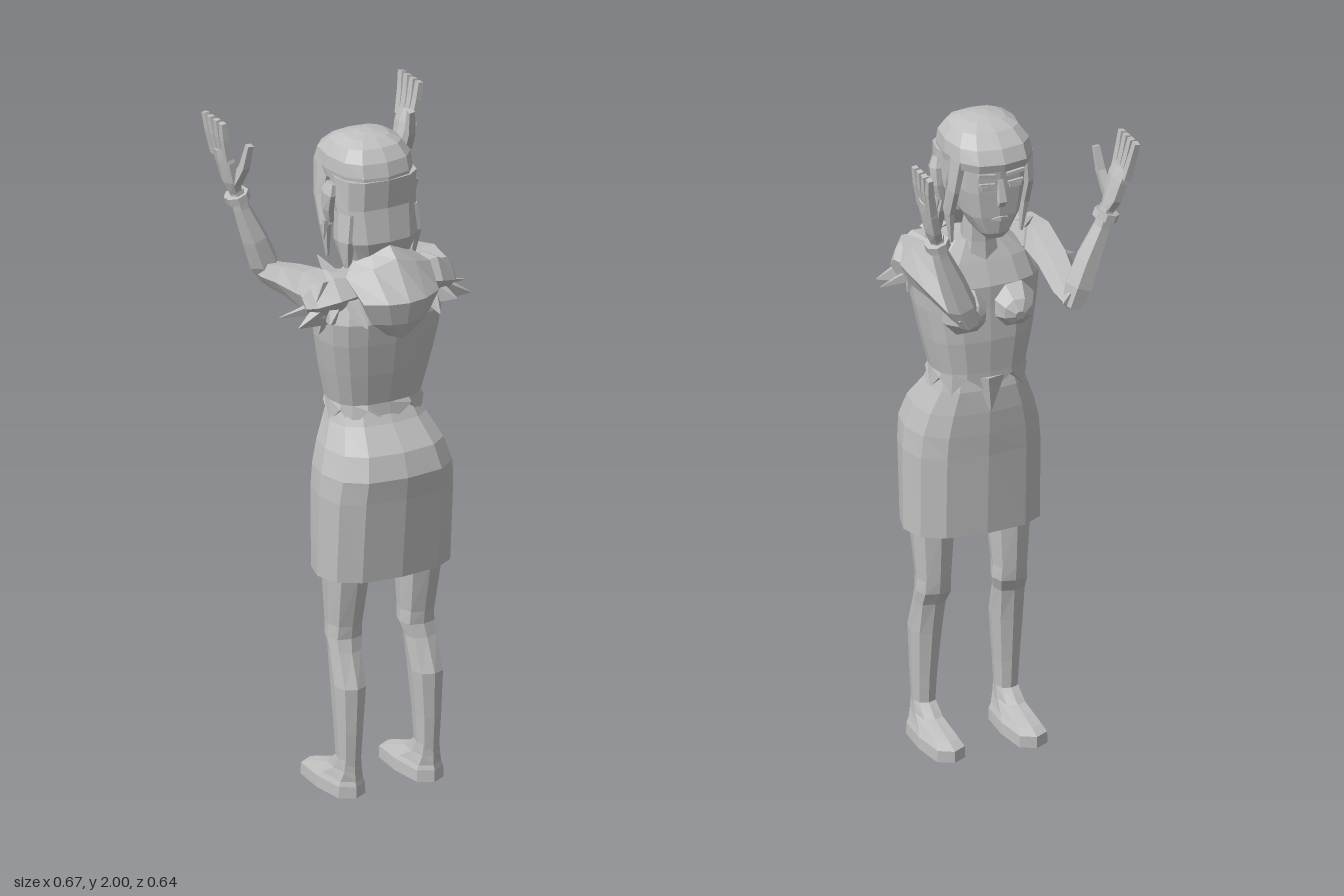
import * as THREE from 'three';

const grey = new THREE.MeshStandardMaterial({ color: 0xc0c0c0, flatShading: true, side: THREE.DoubleSide });
grey.name = 'plain grey';
const V = (a) => new THREE.Vector3(a[0], a[1], a[2]);

// Closed skin over equal-length rings of points, with end caps facing outwards
function loft(name, rings) {
  const n = rings[0].length, tris = [];
  const mid = (r) => r.reduce((s, p) => s.add(p), new THREE.Vector3()).divideScalar(n);
  const first = rings[0], last = rings[rings.length - 1], c0 = mid(first), c1 = mid(last);
  for (let j = 0; j < n; j++) {
    const k = (j + 1) % n;
    for (let i = 0; i + 1 < rings.length; i++) {
      const a = rings[i], b = rings[i + 1];
      tris.push([a[j], a[k], b[k]], [a[j], b[k], b[j]]);
    }
    tris.push([c0, first[k], first[j]], [c1, last[j], last[k]]);
  }
  const volume = tris.reduce((s, [a, b, c]) => s + a.dot(b.clone().cross(c)), 0);
  const pts = tris.flatMap(([a, b, c]) => (volume < 0 ? [a, c, b] : [a, b, c]));
  const g = new THREE.BufferGeometry().setFromPoints(pts);
  g.computeVertexNormals();
  const m = new THREE.Mesh(g, grey);
  m.name = name;
  return m;
}

// Stacked horizontal sections: [y, half width, front z, back z, x centre, zigzag]
function stack(name, rows, n = 12, power = 0.75) {
  const soft = (t) => Math.sign(t) * Math.pow(Math.abs(t), power);
  return loft(name, rows.map(([y, w, f, b, cx = 0, jag = 0]) =>
    Array.from({ length: n }, (_, i) => {
      const a = (i / n) * Math.PI * 2;
      return new THREE.Vector3(cx + w * soft(Math.cos(a)), y + (i % 2 ? jag : -jag),
        (f + b) / 2 + ((b - f) / 2) * soft(Math.sin(a)));
    })));
}

// Limb along a path: [x, y, z, radius along ref, radius across ref]
function limb(name, path, ref = [0, 0, 1], n = 6) {
  const pts = path.map(V);
  return loft(name, path.map((p, i) => {
    const t = pts[Math.min(i + 1, pts.length - 1)].clone().sub(pts[Math.max(i - 1, 0)]).normalize();
    const u = V(ref).addScaledVector(t, -V(ref).dot(t)).normalize();
    const v = t.clone().cross(u);
    return Array.from({ length: n }, (_, j) => {
      const a = ((j + 0.5) / n) * Math.PI * 2;
      return pts[i].clone().addScaledVector(u, p[3] * Math.cos(a)).addScaledVector(v, p[4] * Math.sin(a));
    });
  }));
}

// Pointed tuft from a base to a tip
const spike = (name, a, b, r, flat = r) => limb(name, [[...a, r, flat], [...b, 0.002, 0.002]], [0.1, 1, 0.2], 4);

function buildSide(s) {
  const g = new THREE.Group();
  g.name = s > 0 ? 'leftSide' : 'rightSide';
  const X = (path) => path.map(([x, ...r]) => [s * x, ...r]);
  const P = ([x, y, z]) => [s * x, y, z];

  // Leg and shoe
  g.add(stack('leg', [
    [0.85, 0.065, 0.06, 0.24, s * 0.12], [0.68, 0.06, 0.075, 0.23, s * 0.12],
    [0.52, 0.05, 0.085, 0.195, s * 0.12], [0.48, 0.053, 0.09, 0.19, s * 0.12],
    [0.44, 0.047, 0.11, 0.2, s * 0.125], [0.34, 0.045, 0.125, 0.24, s * 0.128],
    [0.2, 0.036, 0.14, 0.235, s * 0.13], [0.07, 0.03, 0.15, 0.225, s * 0.13]], 8));
  g.add(stack('shoe', [
    [0, 0.055, -0.04, 0.235, s * 0.13], [0.035, 0.053, -0.04, 0.235, s * 0.13],
    [0.05, 0.046, -0.005, 0.23, s * 0.13], [0.08, 0.036, 0.1, 0.228, s * 0.13],
    [0.115, 0.032, 0.145, 0.225, s * 0.13]], 8, 0.6));

  // Shoulder, upper arm reaching forward, forearm raised
  g.add(limb('shoulder', X([[0.08, 1.56, 0.15, 0.05, 0.07], [0.15, 1.55, 0.14, 0.07, 0.08],
    [0.205, 1.53, 0.12, 0.06, 0.07], [0.235, 1.52, 0.11, 0.035, 0.045]]), [0, 1, 0]));
  g.add(limb('upperArm', X([[0.18, 1.545, 0.17, 0.065, 0.05], [0.19, 1.545, 0.08, 0.07, 0.055],
    [0.185, 1.53, -0.05, 0.05, 0.052], [0.17, 1.5, -0.17, 0.04, 0.045],
    [0.165, 1.49, -0.235, 0.032, 0.036]]), [0, 1, 0]));
  g.add(limb('forearm', X([[0.16, 1.47, -0.215, 0.035, 0.03], [0.185, 1.53, -0.215, 0.046, 0.045],
    [0.215, 1.61, -0.215, 0.043, 0.04], [0.255, 1.71, -0.222, 0.03, 0.026],
    [0.27, 1.77, -0.225, 0.028, 0.022]])));
  g.add(limb('bracelet', X([[0.262, 1.732, -0.224, 0.04, 0.037], [0.27, 1.755, -0.225, 0.04, 0.037]]), [0, 0, 1], 8));

  // Hand with splayed fingers and thumb
  g.add(limb('palm', X([[0.27, 1.76, -0.225, 0.026, 0.02], [0.285, 1.8, -0.23, 0.045, 0.024],
    [0.3, 1.86, -0.235, 0.052, 0.022], [0.312, 1.9, -0.242, 0.048, 0.016]])));
  for (let i = 0; i < 4; i++) {
    const z = -0.205 - i * 0.025, tip = -0.203 - i * 0.034;
    g.add(limb('finger', X([[0.306, 1.87, z, 0.017, 0.016], [0.32, 1.94, (z + tip) / 2, 0.017, 0.014],
      [0.327, 1.992, tip, 0.014, 0.011]]), [0, 0, 1], 4));
  }
  g.add(limb('thumb', X([[0.282, 1.8, -0.2, 0.02, 0.017], [0.275, 1.86, -0.165, 0.018, 0.016],
    [0.268, 1.93, -0.148, 0.012, 0.013]]), [0, 0, 1], 4));

  // Ruffled sleeve points
  [[[0.2, 1.5, 0.11], [0.305, 1.485, 0.095], 0.025], [[0.19, 1.5, 0.15], [0.285, 1.475, 0.172], 0.05],
    [[0.17, 1.5, 0.17], [0.21, 1.49, 0.225], 0.045], [[0.18, 1.57, 0.12], [0.25, 1.55, 0.13], 0.04],
    [[0.13, 1.53, 0.18], [0.12, 1.48, 0.285], 0.045], [[0.14, 1.58, 0.13], [0.16, 1.64, 0.06], 0.035],
    [[0.17, 1.52, 0.16], [0.2, 1.43, 0.14], 0.04]]
    .forEach(([a, b, r]) => g.add(spike('sleevePoint', P(a), P(b), r, r * 0.6)));

  // Ear and earring
  g.add(limb('ear', X([[0.125, 1.745, 0.07, 0.015, 0.014], [0.135, 1.79, 0.075, 0.025, 0.018],
    [0.138, 1.84, 0.085, 0.032, 0.016], [0.132, 1.87, 0.09, 0.02, 0.01]])));
  g.add(spike('earring', P([0.138, 1.75, 0.07]), P([0.145, 1.69, 0.07]), 0.012));

  // Hair hanging beside the face
  g.add(limb('sideLock', X([[0.105, 1.9, 0.0, 0.05, 0.02], [0.117, 1.8, 0.0, 0.03, 0.016],
    [0.118, 1.72, 0.03, 0.028, 0.016], [0.11, 1.62, 0.03, 0.006, 0.006]])));
  g.add(limb('backLock', X([[0.1, 1.78, 0.12, 0.055, 0.025], [0.112, 1.7, 0.13, 0.05, 0.02],
    [0.105, 1.62, 0.14, 0.015, 0.012]])));

  // Bust, brow and eye
  g.add(limb('bust', X([[0.075, 1.4, 0.08, 0.08, 0.075], [0.075, 1.4, 0.01, 0.075, 0.07],
    [0.072, 1.395, -0.04, 0.045, 0.045], [0.07, 1.39, -0.058, 0.015, 0.015]]), [0, 1, 0], 8));
  const plate = (name, w, h, x, y, z, tilt) => {
    const m = new THREE.Mesh(new THREE.BoxGeometry(w, h, 0.009), grey);
    m.name = name;
    m.position.set(s * x, y, z);
    m.rotation.z = s * tilt;
    g.add(m);
  };
  plate('brow', 0.055, 0.01, 0.045, 1.86, -0.079, 0.15);
  plate('upperLid', 0.048, 0.007, 0.045, 1.832, -0.079, 0.1);
  plate('eye', 0.036, 0.013, 0.045, 1.82, -0.076, 0.05);
  return g;
}

// Hair sweeping over the back as a curved shell: [y, half width, centre z, side z, side drop]
function backHair() {
  const rows = [[1.69, 0.1, 0.2, 0.16, 0.05], [1.66, 0.14, 0.24, 0.19, 0.05], [1.55, 0.125, 0.322, 0.27, 0],
    [1.48, 0.09, 0.305, 0.265, 0], [1.425, 0.035, 0.275, 0.262, -0.01]];
  const us = [-1, -0.5, 0, 0.5, 1];
  return loft('backHair', rows.map(([y, w, zc, zs, drop]) => {
    const at = (u, t) => new THREE.Vector3(u * w * (1 - t), y - drop * Math.abs(u) - t * 0.1,
      zc + (zs - zc) * u * u - t * 0.35);
    return [...us.map((u) => at(u, 0)), ...us.slice().reverse().map((u) => at(u, 0.1))];
  }));
}

export function createModel() {
  const g = new THREE.Group();
  g.name = 'standingWoman';

  // Skirt and bodice
  g.add(stack('skirt', [[0.68, 0.21, 0.02, 0.275], [0.93, 0.21, 0.01, 0.3], [1.0, 0.203, 0.005, 0.31],
    [1.07, 0.182, 0.002, 0.285], [1.14, 0.15, 0.005, 0.22], [1.18, 0.138, 0.015, 0.195]]));
  g.add(stack('bodice', [[1.16, 0.147, 0, 0.208, 0, 0.025], [1.2, 0.142, 0, 0.2], [1.3, 0.165, -0.005, 0.222],
    [1.4, 0.185, 0.0, 0.24], [1.47, 0.192, 0.0, 0.25], [1.54, 0.17, 0.03, 0.23],
    [1.6, 0.1, 0.06, 0.19]], 16));
  g.add(spike('bodicePoint', [0, 1.18, 0.02], [0, 1.08, -0.005], 0.05, 0.05));
  g.add(stack('neck', [[1.52, 0.065, 0.03, 0.17], [1.6, 0.05, 0.035, 0.14], [1.72, 0.048, 0.03, 0.13]], 8));

  // Head and hair
  g.add(stack('face', [[1.645, 0.03, -0.05, 0.04], [1.665, 0.05, -0.062, 0.08], [1.72, 0.082, -0.068, 0.11],
    [1.8, 0.098, -0.072, 0.13], [1.9, 0.1, -0.075, 0.14]], 12, 0.6));
  g.add(stack('hairCap', [[1.875, 0.122, -0.1, 0.198], [1.9, 0.126, -0.107, 0.198], [1.94, 0.122, -0.085, 0.185],
    [1.975, 0.098, -0.04, 0.155], [1.992, 0.065, 0.0, 0.12], [2.0, 0.02, 0.035, 0.08]]));
  g.add(stack('hairBack', [[1.64, 0.09, 0.1, 0.185], [1.7, 0.118, 0.06, 0.205], [1.8, 0.125, 0.03, 0.19],
    [1.89, 0.126, 0.0, 0.2]]));
  g.add(backHair());

  // Nose and lips
  g.add(limb('nose', [[0, 1.84, -0.07, 0.008, 0.01], [0, 1.775, -0.085, 0.015, 0.016], [0, 1.76, -0.075, 0.01, 0.014]], [0, 0, 1], 4));
  g.add(limb('lips', [[-0.025, 1.715, -0.067, 0.003, 0.003], [0, 1.715, -0.07, 0.01, 0.008], [0.025, 1.715, -0.067, 0.003, 0.003]], [0, 1, 0], 4));

  g.add(buildSide(1), buildSide(-1));
  return g;
}
